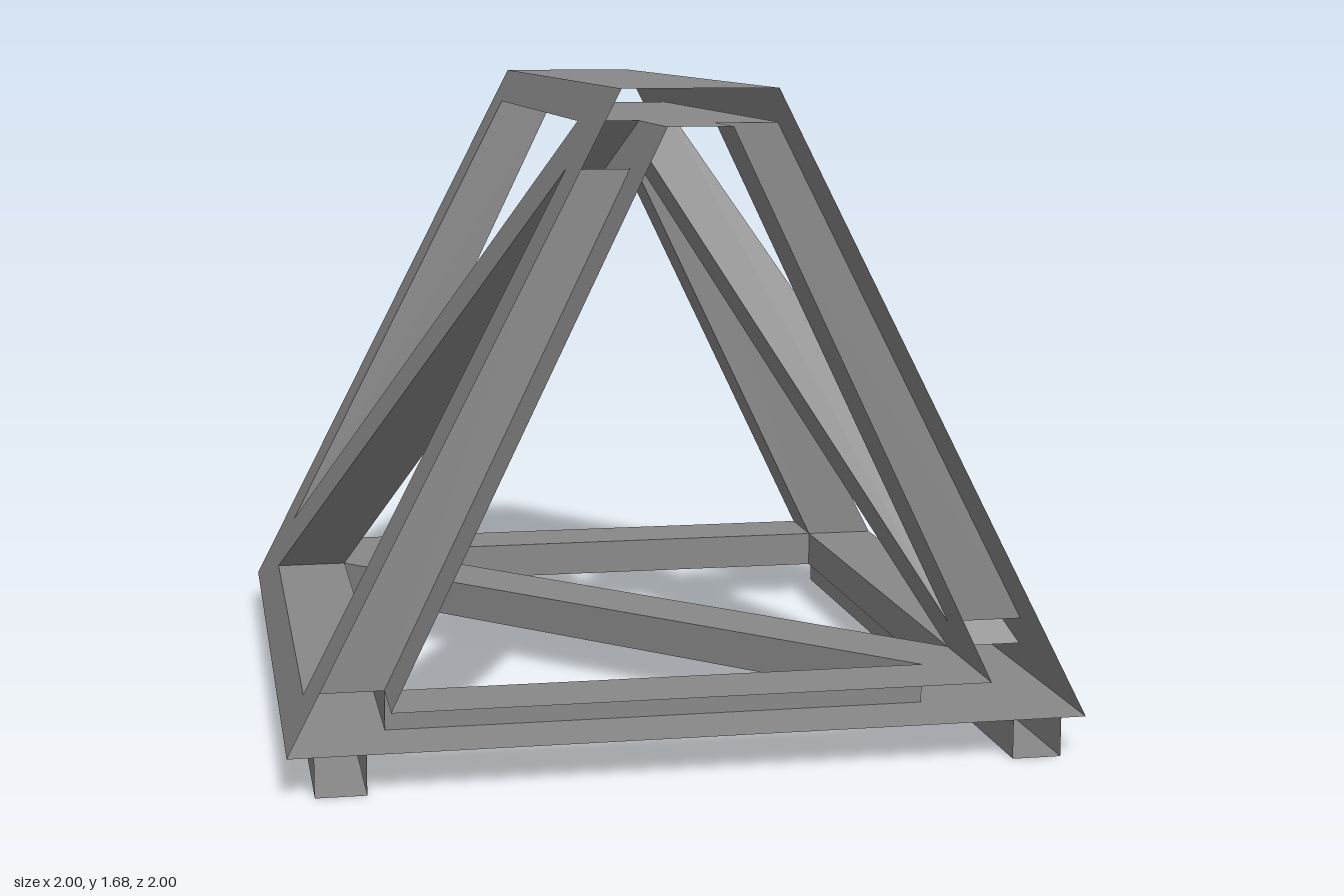
import * as THREE from 'three';

const material = new THREE.MeshStandardMaterial({ color: 0x888888, side: THREE.DoubleSide, flatShading: true });

function addMesh(parent, name, geometry) {
  const mesh = new THREE.Mesh(geometry, material);
  mesh.name = name;
  parent.add(mesh);
}

// Flat sheet with optional holes, its (u, v) points placed in space by a mapping.
function sheet(outline, holes, place) {
  const toPoints = (list) => list.map(([u, v]) => new THREE.Vector2(u, v));
  const shape = new THREE.Shape(toPoints(outline));
  holes.forEach((h) => shape.holes.push(new THREE.Path(toPoints(h))));
  const geometry = new THREE.ShapeGeometry(shape);
  const pos = geometry.attributes.position;
  for (let i = 0; i < pos.count; i++) pos.setXYZ(i, ...place(pos.getX(i), pos.getY(i)));
  geometry.computeVertexNormals();
  return geometry;
}

// Walls joining the outer and inner sheets around one window.
function windowWalls(corners, outer, inner) {
  const points = [];
  corners.forEach(([u, v], i) => {
    const [u2, v2] = corners[(i + 1) % corners.length];
    const a = outer(u, v), b = outer(u2, v2), c = inner(u2, v2), d = inner(u, v);
    points.push(...a, ...b, ...c, ...a, ...c, ...d);
  });
  const geometry = new THREE.BufferGeometry();
  geometry.setAttribute('position', new THREE.Float32BufferAttribute(points, 3));
  geometry.computeVertexNormals();
  return geometry;
}

const rect = (u0, u1, v0, v1) => [[u0, v0], [u1, v0], [u1, v1], [u0, v1]];

// Double-walled frame with two triangular windows either side of a diagonal brace.
function framePanel(name, { min, max, lo, hi, cut, outer, inner }) {
  const panel = new THREE.Group();
  panel.name = name;
  const windows = [
    [[0.8, lo + cut], [0.8, hi], [-0.64, hi]],
    [[-0.8, hi - cut], [-0.8, lo], [0.64, lo]],
  ];
  addMesh(panel, 'outerSheet', sheet(rect(-1, 1, min, max), windows, outer));
  windows.forEach((w) => addMesh(panel, 'windowWalls', windowWalls(w, outer, inner)));
  for (const s of [-1, 1]) {
    addMesh(panel, 'innerPostSheet', sheet(rect(s * 0.9 - 0.1, s * 0.9 + 0.1, lo, hi), [], inner));
  }
  const brace = [[0.8, lo], [0.8, lo + cut], [-0.64, hi], [-0.8, hi], [-0.8, hi - cut], [0.64, lo]];
  addMesh(panel, 'innerBraceSheet', sheet(brace, [], inner));
  return panel;
}

export function createModel() {
  const model = new THREE.Group();
  model.name = 'trussFrame';

  // Sloping sides, the second turned half round
  for (const side of ['left', 'right']) {
    const panel = framePanel(side + 'SidePanel', {
      min: 0.1, max: 1.68, lo: 0.2, hi: 1.59, cut: 0.11,
      outer: (u, v) => [1 - (v - 0.1) * 0.81 / 1.58, v, u],
      inner: (u, v) => [0.75 - (v - 0.2) * 0.67 / 1.39, v, u],
    });
    if (side === 'right') panel.rotation.y = Math.PI;
    model.add(panel);
  }

  // Floor frame
  model.add(framePanel('floorPanel', {
    min: -1, max: 1, lo: -0.75, hi: 0.75, cut: 0.12,
    outer: (u, v) => [v, 0.1, -u],
    inner: (u, v) => [v, 0.2, -u],
  }));

  // Ridge: upper plate and the narrow plate below it
  for (const [name, half, y] of [['ridgePlate', 0.19, 1.68], ['innerRidgePlate', 0.08, 1.59]]) {
    addMesh(model, name, sheet(rect(-1, 1, -half, half), [], (u, v) => [v, y, u]));
  }

  // Open-ended runners under the floor
  for (const s of [-1, 1]) {
    const runner = new THREE.Group();
    runner.name = s > 0 ? 'leftRunner' : 'rightRunner';
    for (const x of [0.81, 0.935]) {
      addMesh(runner, 'runnerWall', sheet(rect(-1, 1, 0, 0.1), [], (u, v) => [s * x, v, u]));
    }
    addMesh(runner, 'runnerBase', sheet(rect(-1, 1, 0.81, 0.935), [], (u, v) => [s * v, 0, u]));
    model.add(runner);
  }
  return model;
}
